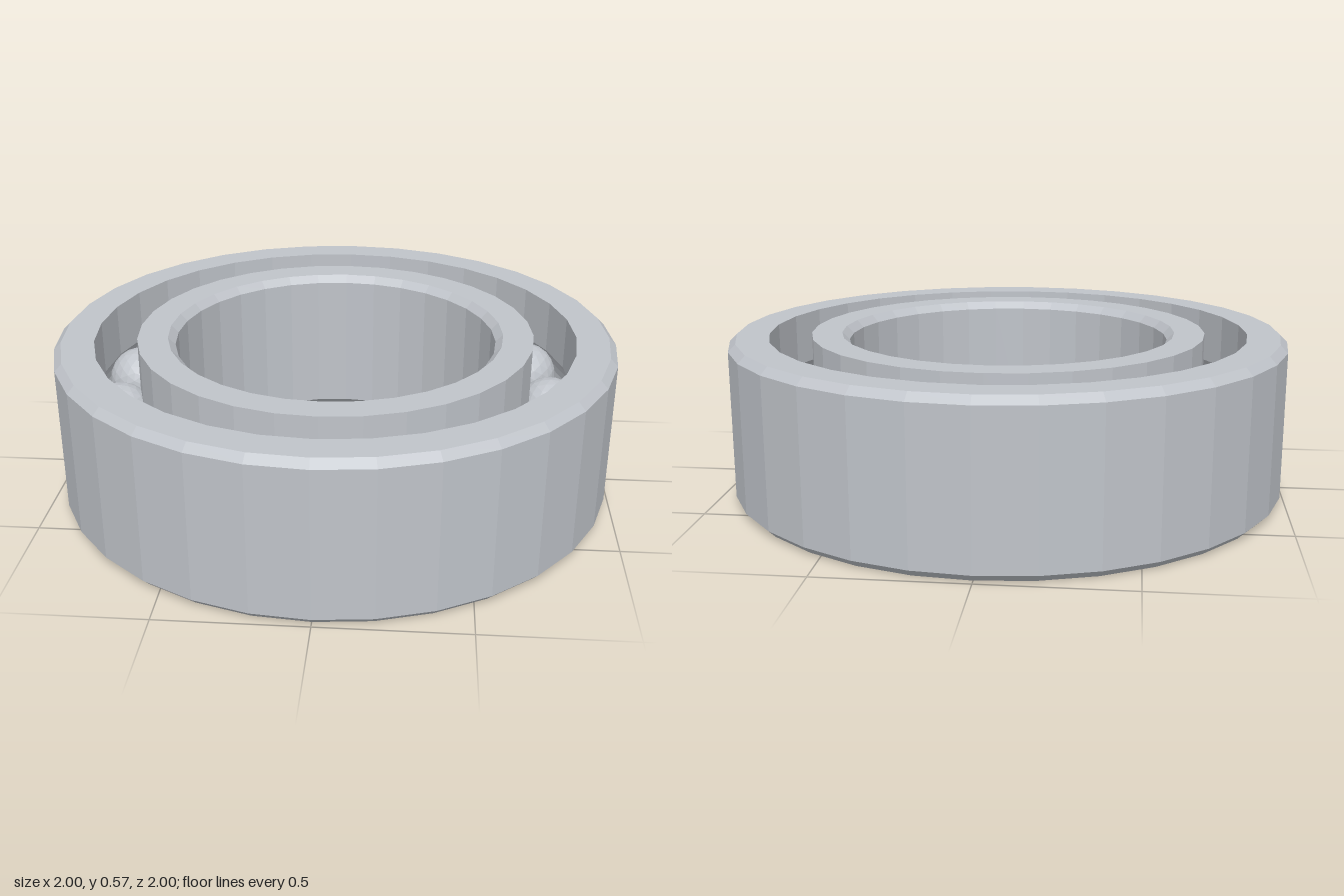
import * as THREE from 'three';

const HEIGHT = 0.572;
const MID = HEIGHT / 2;
const CHAMFER = 0.026;
const SIDES = 32;
const BALLS = 15;
const PITCH = 0.783;       // radius of the circle of ball centres
const BALL_RADIUS = 0.117;
const GROOVE_RADIUS = 0.12;

// Arc of the ball groove where it cuts a wall of the given radius, from bottom to top
function groove(wall, steps = 8) {
  const side = Math.sign(wall - PITCH);
  const half = Math.acos(Math.abs(wall - PITCH) / GROOVE_RADIUS);
  const points = [];
  for (let i = 0; i <= steps; i++) {
    const a = -half + (2 * half * i) / steps;
    points.push([PITCH + side * GROOVE_RADIUS * Math.cos(a), MID + GROOVE_RADIUS * Math.sin(a)]);
  }
  return points;
}

// Closed ring turned from a counter-clockwise profile of [radius, height] points
function ring(name, profile, material) {
  const points = [...profile, profile[0]].map(([r, y]) => new THREE.Vector2(r, y));
  const mesh = new THREE.Mesh(new THREE.LatheGeometry(points, SIDES), material);
  mesh.name = name;
  return mesh;
}

export function createModel() {
  const model = new THREE.Group();
  model.name = 'ballBearing';

  const steel = new THREE.MeshStandardMaterial({ color: 0xc0c4ca, flatShading: true });
  steel.name = 'steel';

  // Outer race: chamfered outside, grooved inside
  const outerWall = 0.858;
  model.add(ring('outerRace', [
    [outerWall, 0],
    [1 - CHAMFER, 0], [1, CHAMFER],
    [1, HEIGHT - CHAMFER], [1 - CHAMFER, HEIGHT],
    [outerWall, HEIGHT],
    ...groove(outerWall).reverse(),
  ], steel));

  // Inner race: grooved outside, chamfered bore
  const innerWall = 0.708;
  const bore = 0.574;
  model.add(ring('innerRace', [
    [innerWall, 0],
    ...groove(innerWall),
    [innerWall, HEIGHT],
    [bore + CHAMFER, HEIGHT], [bore, HEIGHT - CHAMFER],
    [bore, CHAMFER], [bore + CHAMFER, 0],
  ], steel));

  // Balls spaced evenly between the races
  const balls = new THREE.Group();
  balls.name = 'balls';
  const ballGeometry = new THREE.IcosahedronGeometry(BALL_RADIUS, 3);
  for (let i = 0; i < BALLS; i++) {
    const a = (i / BALLS) * Math.PI * 2;
    const ball = new THREE.Mesh(ballGeometry, steel);
    ball.name = 'ball' + (i + 1);
    ball.position.set(PITCH * Math.cos(a), MID, PITCH * Math.sin(a));
    balls.add(ball);
  }
  model.add(balls);

  return model;
}
